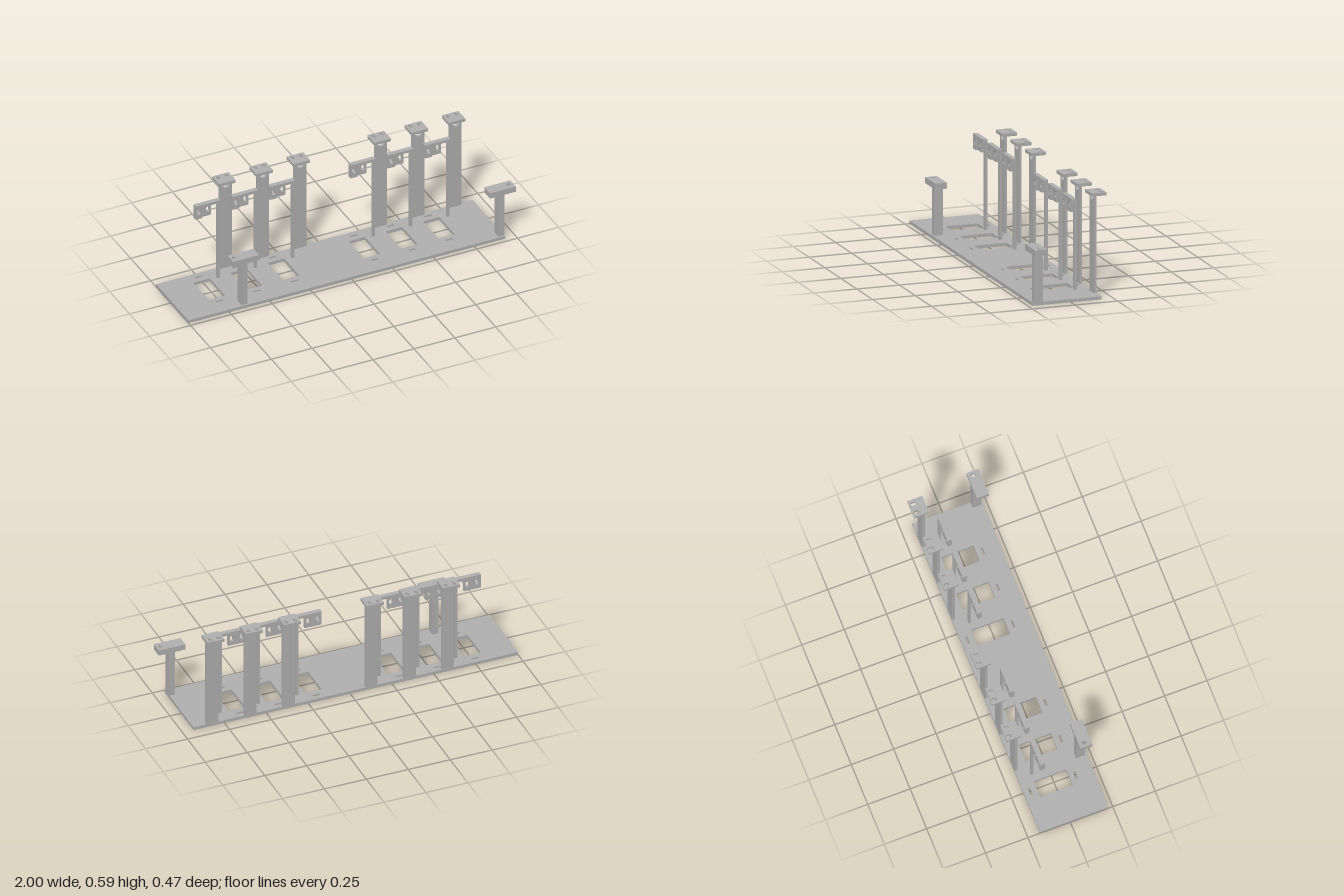
import * as THREE from 'three';

const metal = new THREE.MeshStandardMaterial({ color: 0xb0b0b0 });
metal.name = 'plain grey';

const rectPath = (P, x0, y0, x1, y1) => {
  const p = new P();
  p.moveTo(x0, y0); p.lineTo(x1, y0); p.lineTo(x1, y1); p.lineTo(x0, y1); p.closePath();
  return p;
};
const hole = (x0, y0, x1, y1) => rectPath(THREE.Path, x0, y0, x1, y1);
const roundHole = (x, y, r) => {
  const p = new THREE.Path();
  p.absarc(x, y, r, 0, Math.PI * 2, true);
  return p;
};

// Rounded slot, long in y
const slot = (x, y, w, h) => {
  const p = new THREE.Path(), r = w / 2, s = h / 2 - r;
  p.absarc(x, y + s, r, 0, Math.PI, false);
  p.absarc(x, y - s, r, Math.PI, Math.PI * 2, false);
  p.closePath();
  return p;
};

function add(parent, name, geometry) {
  const mesh = new THREE.Mesh(geometry, metal);
  mesh.name = name;
  parent.add(mesh);
}
function box(parent, name, x0, x1, y0, y1, z0, z1) {
  const g = new THREE.BoxGeometry(x1 - x0, y1 - y0, z1 - z0);
  add(parent, name, g.translate((x0 + x1) / 2, (y0 + y1) / 2, (z0 + z1) / 2));
}
// Pierced upright plate, outline in x and y
function upright(parent, name, shape, holes, z0, z1) {
  shape.holes.push(...holes);
  const g = new THREE.ExtrudeGeometry(shape, { depth: z1 - z0, bevelEnabled: false, curveSegments: 10 });
  add(parent, name, g.translate(0, 0, z0));
}
// Pierced level plate, outline in x and -z
function level(parent, name, shape, holes, y0, y1) {
  shape.holes.push(...holes);
  const g = new THREE.ExtrudeGeometry(shape, { depth: y1 - y0, bevelEnabled: false, curveSegments: 12 });
  add(parent, name, g.rotateX(-Math.PI / 2).translate(0, y0, 0));
}
const rect = (x0, y0, x1, y1) => rectPath(THREE.Shape, x0, y0, x1, y1);

// Bracket: slim post with a top arm and a slotted, stepped plate
function bracket() {
  const g = new THREE.Group();
  g.name = 'slottedBracket';
  box(g, 'bracketPost', 0.089, 0.105, 0.018, 0.515, -0.104, -0.088);
  box(g, 'bracketArm', -0.05, 0.105, 0.515, 0.532, -0.104, -0.077);
  upright(g, 'thickPlate', rect(-0.05, 0.446, -0.007, 0.515), [slot(-0.028, 0.488, 0.02, 0.034)], -0.104, -0.077);
  upright(g, 'thinPlate', rect(-0.007, 0.446, 0.051, 0.515), [slot(0.031, 0.488, 0.02, 0.034)], -0.104, -0.088);
  return g;
}

// Tall rear post with a half-round notch under a pierced cap
function rearPost() {
  const g = new THREE.Group();
  g.name = 'rearPost';
  const s = new THREE.Shape();
  s.moveTo(-0.036, 0.018); s.lineTo(0.036, 0.018); s.lineTo(0.036, 0.571);
  s.lineTo(0.021, 0.571); s.lineTo(0.021, 0.562);
  s.absarc(0, 0.562, 0.021, 0, Math.PI, true);
  s.lineTo(-0.021, 0.571); s.lineTo(-0.036, 0.571); s.closePath();
  upright(g, 'rearColumn', s, [], -0.179, -0.163);
  level(g, 'rearCap', rect(-0.051, 0.145, 0.051, 0.232),
    [-0.025, 0.025].map((x) => slot(x, 0.208, 0.018, 0.028)), 0.571, 0.589);
  return g;
}

// Short front post with a wide cap, screw hole on one side
function frontPost(side) {
  const g = new THREE.Group();
  g.name = 'frontPost';
  box(g, 'frontColumn', -0.0175, 0.0175, 0.018, 0.296, 0.164, 0.216);
  const x = side * 0.054;
  level(g, 'frontCapLower', rect(-0.079, -0.234, 0.079, -0.164),
    [hole(x - 0.019, -0.216, x + 0.019, -0.178)], 0.296, 0.313);
  level(g, 'frontCapUpper', rect(-0.079, -0.234, 0.079, -0.164),
    [roundHole(x, -0.197, 0.012)], 0.313, 0.33);
  return g;
}

export function createModel() {
  const model = new THREE.Group();
  model.name = 'bracketStand';
  const bays = [-0.76, 0.189].flatMap((x) => [0, 1, 2].map((i) => x + i * 0.2278));

  // Base plate with a window and two slits per bay
  const openings = bays.flatMap((x) => [
    hole(x - 0.05, -0.087, x + 0.05, 0.104),
    hole(x - 0.021, -0.13, x + 0.021, -0.117),
    hole(x - 0.021, 0.137, x + 0.021, 0.15),
  ]);
  level(model, 'basePlate', rect(-1, -0.225, 0.935, 0.18), openings, 0, 0.018);

  // One bracket and one rear post per bay
  for (const x of bays) {
    const b = bracket(), r = rearPost();
    b.position.x = x;
    r.position.x = x + 0.178;
    model.add(b, r);
  }

  // Front supports
  for (const [x, side] of [[-0.652, -1], [0.918, 1]]) {
    const p = frontPost(side);
    p.position.x = x;
    model.add(p);
  }
  return model;
}
